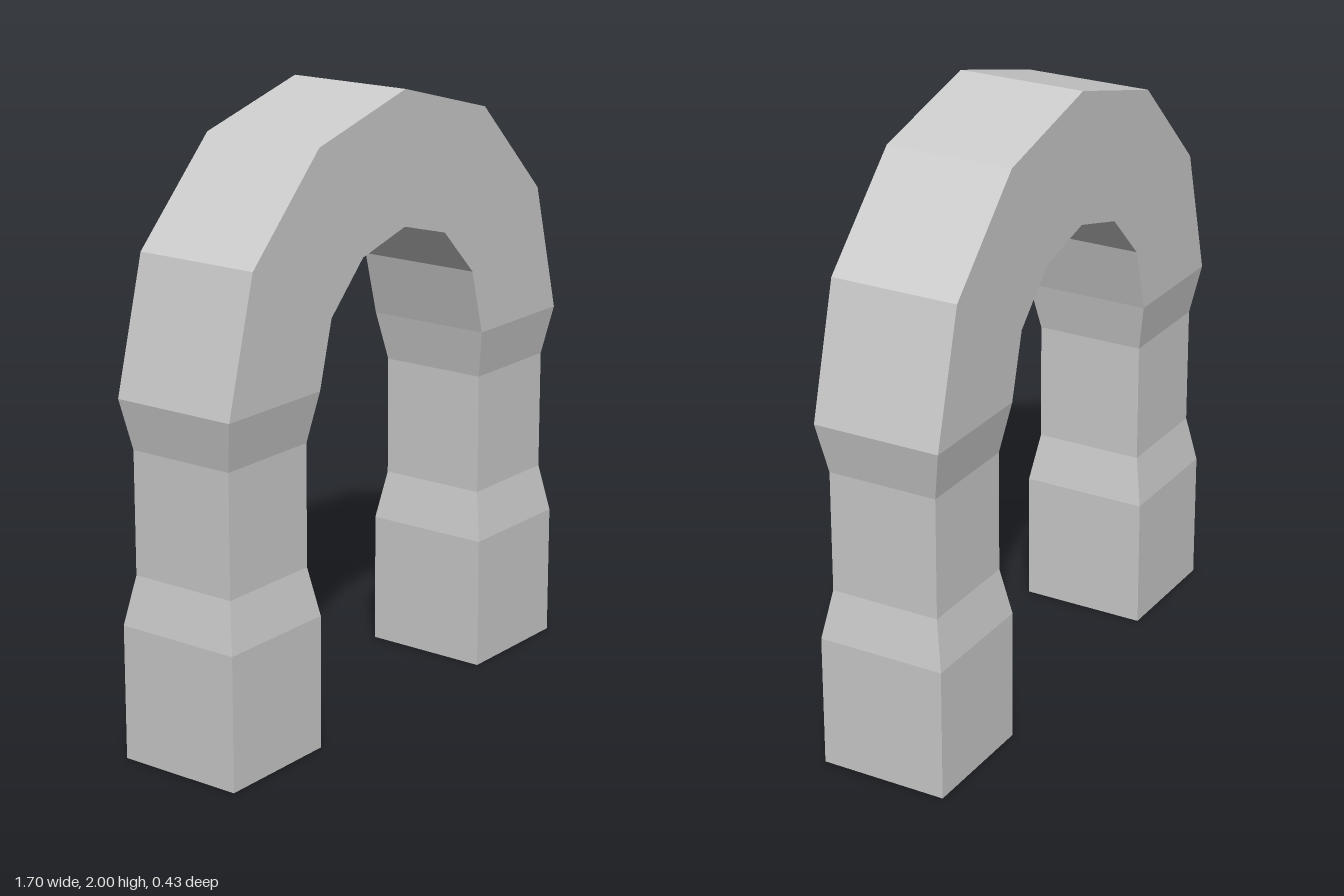
import * as THREE from 'three';

const DEPTH = 0.425, OUTER = 0.85, INNER = 0.425, SPRING = 1.15, SEGMENTS = 6;

export function createModel() {
  const group = new THREE.Group();
  const material = new THREE.MeshStandardMaterial({ color: 0xcccccc, flatShading: true });

  // Faceted half ring resting on both pillars
  const arc = (radius) => Array.from({ length: SEGMENTS + 1 }, (_, i) => {
    const a = (i / SEGMENTS) * Math.PI;
    return new THREE.Vector2(radius * Math.cos(a), radius * Math.sin(a));
  });
  const archShape = new THREE.Shape([...arc(OUTER), ...arc(INNER).reverse()]);
  const archGeometry = new THREE.ExtrudeGeometry(archShape, { depth: DEPTH, bevelEnabled: false });
  archGeometry.translate(0, SPRING, -DEPTH / 2);
  const arch = new THREE.Mesh(archGeometry, material);
  arch.name = 'arch';
  group.add(arch);

  // Square pillar with a narrowed waist: [half width, height]
  const profile = [[0, 0], [0.2125, 0], [0.2125, 0.435], [0.183, 0.595], [0.183, 0.99], [0.2125, SPRING]]
    .map(([half, y]) => new THREE.Vector2(half * Math.SQRT2, y));
  const pillarGeometry = new THREE.LatheGeometry(profile, 4).rotateY(Math.PI / 4);
  for (const [name, side] of [['leftPillar', 1], ['rightPillar', -1]]) {
    const pillar = new THREE.Mesh(pillarGeometry, material);
    pillar.name = name;
    pillar.position.x = side * (OUTER + INNER) / 2;
    group.add(pillar);
  }

  return group;
}
